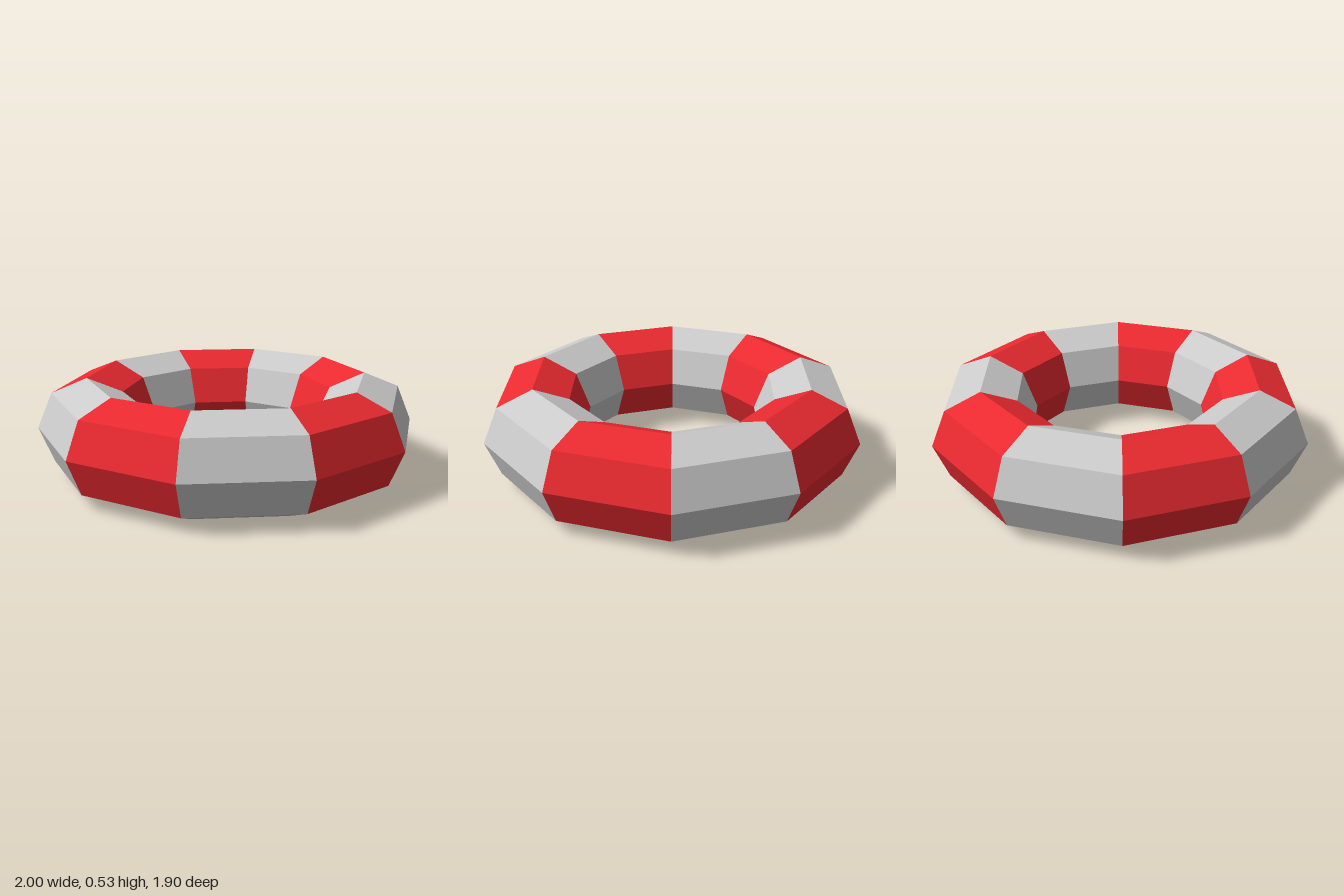
import * as THREE from 'three';

const SEGMENTS = 10;
const RING_RADIUS = 0.737;
const TUBE_RADIUS = 0.263;

export function createModel() {
  const ring = new THREE.Group();
  ring.name = 'swimRing';

  const red = new THREE.MeshStandardMaterial({ color: 0xea2a30, flatShading: true });
  const grey = new THREE.MeshStandardMaterial({ color: 0xcccccc, flatShading: true });

  // One straight, eight-sided tube section, laid flat; all sections share it
  const arc = (Math.PI * 2) / SEGMENTS;
  const section = new THREE.TorusGeometry(RING_RADIUS, TUBE_RADIUS, 8, 1, arc);
  section.rotateX(Math.PI / 2);

  // Alternating red and grey sections around the ring
  for (let i = 0; i < SEGMENTS; i++) {
    const isRed = i % 2 === 0;
    const mesh = new THREE.Mesh(section, isRed ? red : grey);
    mesh.name = `${isRed ? 'red' : 'grey'}Section${Math.floor(i / 2) + 1}`;
    mesh.rotation.y = -i * arc;
    mesh.position.y = TUBE_RADIUS;
    ring.add(mesh);
  }
  return ring;
}
